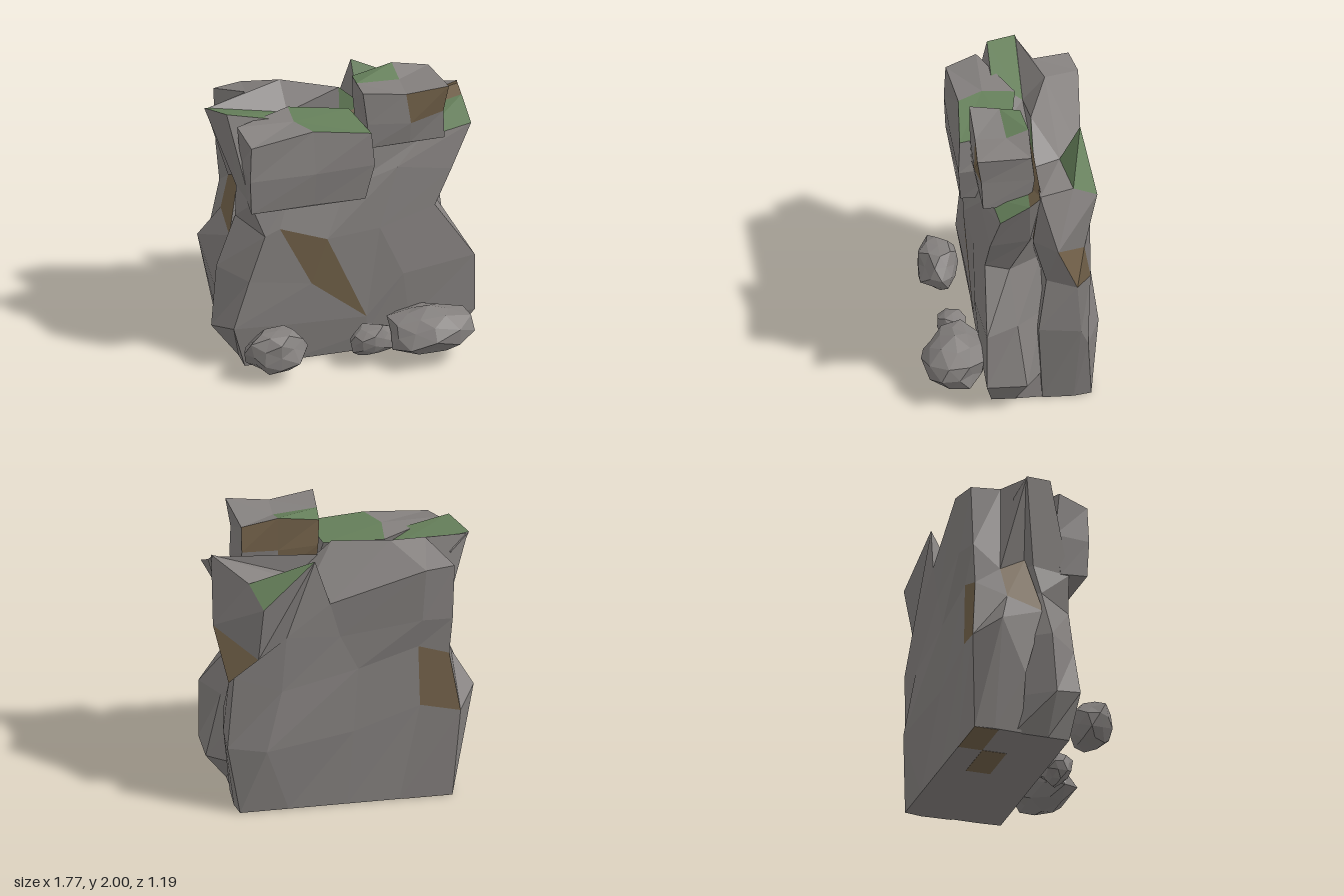
import * as THREE from 'three';

const mat = (name, color) => {
  const m = new THREE.MeshStandardMaterial({ color, flatShading: true });
  m.name = name;
  return m;
};
const GREY = 0, GREEN = 1, BROWN = 2;

// Skins rings of points (counter-clockwise from above, bottom to top).
// paint: 'row,column' -> colour of a wall face; flips: wall faces folded on the other diagonal;
// cap: top triangles [a, b, c, colour], indexing the last ring followed by the extra inner points.
function loft(name, mats, rings, cap, paint = {}, extra = [], flips = []) {
  const faces = [[], [], []];
  const tri = (c, ...pts) => pts.forEach((p) => faces[c].push(...p));
  const n = rings[0].length, base = rings[0], top = [...rings.at(-1), ...extra];
  for (let r = 0; r < rings.length - 1; r++) {
    for (let i = 0; i < n; i++) {
      const j = (i + 1) % n, key = `${r},${i}`, c = paint[key] ?? GREY;
      const quad = [rings[r][i], rings[r][j], rings[r + 1][j], rings[r + 1][i]];
      if (flips.includes(key)) quad.push(quad.shift());
      tri(c, quad[0], quad[1], quad[2]);
      tri(c, quad[0], quad[2], quad[3]);
    }
  }
  for (let i = 1; i < n - 1; i++) tri(GREY, base[0], base[i + 1], base[i]);
  cap.forEach(([a, b, c, colour = GREY]) => tri(colour, top[a], top[b], top[c]));

  const g = new THREE.BufferGeometry();
  g.setAttribute('position', new THREE.Float32BufferAttribute(faces.flat(), 3));
  let start = 0;
  faces.forEach((f, k) => {
    if (f.length) g.addGroup(start, f.length / 3, k);
    start += f.length / 3;
  });
  g.computeVertexNormals();
  const mesh = new THREE.Mesh(g, mats);
  mesh.name = name;
  return mesh;
}

// Faceted stone: a dented ball, each corner pushed by a hash of its place
function boulder(name, material, seed, centre, radii) {
  const g = new THREE.IcosahedronGeometry(1, 1);
  const p = g.attributes.position, v = new THREE.Vector3();
  for (let i = 0; i < p.count; i++) {
    v.fromBufferAttribute(p, i);
    const key = Math.round(v.x * 50) * 12.9 + Math.round(v.y * 50) * 78.2 + Math.round(v.z * 50) * 37.7;
    const h = Math.abs(Math.sin(key + seed) * 437.5) % 1;
    v.multiplyScalar(0.76 + 0.29 * h);
    p.setXYZ(i, v.x, v.y, v.z);
  }
  g.scale(...radii).translate(...centre);
  g.computeVertexNormals();
  const mesh = new THREE.Mesh(g, material);
  mesh.name = name;
  return mesh;
}

export function createModel() {
  const group = new THREE.Group();
  group.name = 'rockCliff';
  const mats = [mat('stoneGrey', 0x84807e), mat('mossGreen', 0x657f5a), mat('earthBrown', 0x73624a)];

  // Front slab: left side, five front columns, right side; the hidden back is tucked inward
  const frontRings = [
    [[-0.7, 0, 0], [-0.7, 0, 0.15], [-0.38, 0, 0.15], [0.13, 0, 0.15], [0.4, 0, 0.15], [0.72, 0, 0.15], [0.73, 0, -0.01]],
    [[-0.89, 0.26, 0], [-0.79, 0.32, 0.2], [-0.35, 0.29, 0.19], [0.13, 0.14, 0.18], [0.43, 0.2, 0.19], [0.88, 0.22, 0.2], [0.88, 0.21, -0.07]],
    [[-0.85, 0.7, -0.02], [-0.68, 0.66, 0.19], [-0.25, 0.59, 0.2], [0.13, 0.28, 0.2], [0.38, 0.58, 0.22], [0.88, 0.64, 0.2], [0.77, 0.64, -0.02]],
    [[-0.71, 1.05, -0.05], [-0.57, 0.99, 0.19], [-0.47, 1.04, 0.2], [-0.15, 0.93, 0.23], [0.22, 0.95, 0.21], [0.61, 1.05, 0.18], [0.65, 1.03, 0.02]],
    [[-0.69, 1.25, -0.1], [-0.66, 1.23, 0.16], [-0.4, 1.23, 0.15], [0, 1.25, 0.15], [0.35, 1.38, 0.18], [0.73, 1.3, 0.16], [0.78, 1.36, -0.1]],
  ].map((r) => {
    const l = r[0], e = r[6], tuck = l[1] === 0 ? 1 : 0.8;
    return [...r, [e[0] * tuck, e[1], -0.21], [l[0] * tuck, l[1], -0.24]];
  });
  frontRings.push([[-0.88, 1.81, -0.21], [-0.78, 1.85, -0.01], [-0.45, 1.77, 0], [0.05, 1.62, 0.08], [0.52, 1.54, 0.13],
    [0.88, 1.6, 0.11], [0.87, 1.71, -0.09], [0.86, 1.77, -0.17], [-0.75, 1.7, -0.26]]);
  const frontCap = [[0, 1, 9, GREEN], [1, 2, 9, GREEN], [8, 0, 9], [2, 3, 9], [3, 10, 9], [3, 4, 10, GREEN],
    [4, 11, 10, GREEN], [4, 5, 6, GREEN], [4, 6, 11, GREEN], [11, 6, 7, BROWN], [11, 7, 10, BROWN]];
  group.add(loft('frontSlab', mats, frontRings, frontCap, { '2,2': BROWN },
    [[-0.31, 1.7, -0.19], [0.05, 1.64, -0.2], [0.45, 1.59, -0.12]]));

  // Back slab: right side, back columns from right to left, left side, then a plain hidden front
  const backRings = [
    [[0.74, 0, -0.19], [0.75, 0, -0.4], [0.73, 0, -0.52], [0.4, 0, -0.52], [0, 0, -0.52], [-0.35, 0, -0.52], [-0.71, 0, -0.52], [-0.72, 0, -0.38], [-0.71, 0, -0.19]],
    [[0.78, 0.6, -0.16], [0.83, 0.6, -0.44], [0.81, 0.48, -0.49], [0.56, 0.48, -0.59], [-0.04, 0.55, -0.53], [-0.49, 0.7, -0.52], [-0.76, 0.65, -0.55], [-0.88, 0.75, -0.38], [-0.8, 0.4, -0.19]],
    [[0.71, 0.96, -0.22], [0.79, 0.94, -0.42], [0.77, 1.02, -0.51], [0.45, 0.9, -0.54], [-0.07, 1.02, -0.53], [-0.48, 1.14, -0.51], [-0.69, 1.07, -0.51], [-0.74, 0.98, -0.3], [-0.75, 0.9, -0.05]],
    [[0.79, 1.36, -0.12], [0.87, 1.31, -0.28], [0.6, 1.13, -0.49], [0.42, 1.31, -0.55], [0.05, 1.27, -0.52], [-0.5, 1.36, -0.56], [-0.71, 1.34, -0.53], [-0.68, 1.2, -0.33], [-0.66, 1.3, -0.15]],
  ].map((r) => [...r, ...[-0.31, 0.05, 0.3].map((x) => [x, r[8][1], -0.18])]);
  backRings.push([[0.86, 1.78, -0.16], [0.65, 1.67, -0.41], [0.58, 1.55, -0.58], [0.22, 1.85, -0.51], [0.12, 1.53, -0.53], [-0.52, 1.75, -0.59],
    [-0.72, 1.75, -0.55], [-0.57, 1.84, -0.29], [-0.87, 1.8, -0.21], [-0.31, 1.7, -0.19], [0.05, 1.83, -0.2], [0.3, 1.6, -0.19]]);
  // Inner points: the ridge and the hollow
  const ridge = [[-0.32, 1.87, -0.34], [0.23, 1.6, -0.37]];
  const backCap = [[0, 1, 13], [1, 2, 3, GREEN], [1, 3, 13, GREEN], [3, 4, 13], [4, 12, 13], [4, 5, 12],
    [5, 6, 7], [5, 7, 12], [7, 8, 12], [8, 9, 12], [9, 10, 12], [10, 13, 12], [10, 11, 13], [11, 0, 13]];
  group.add(loft('backSlab', mats, backRings, backCap,
    { '2,1': BROWN, '2,7': BROWN, '1,5': BROWN, '3,10': GREEN, '3,11': BROWN }, ridge, ['3,0']));

  // Two staggered patches of brown earth on the underside
  for (const [x, z] of [[-0.54, -0.435], [-0.2, -0.265]]) {
    const patch = new THREE.Mesh(new THREE.BoxGeometry(0.34, 0.004, 0.17), mats[BROWN]);
    patch.position.set(x, 0, z);
    patch.name = 'undersidePatch';
    group.add(patch);
  }

  // Overhanging block on the front: three front and three back points per ring
  const ledgeRings = [
    [[-0.69, 1.23, 0.28], [-0.25, 1.23, 0.27], [0.1, 1.23, 0.28], [0.1, 1.23, 0.1], [-0.25, 1.23, 0.05], [-0.67, 1.23, 0.1]],
    [[-0.7, 1.48, 0.29], [-0.25, 1.48, 0.3], [0.16, 1.49, 0.3], [0.14, 1.5, 0], [-0.25, 1.5, -0.1], [-0.7, 1.5, 0.05]],
    [[-0.69, 1.73, 0.28], [-0.25, 1.78, 0.25], [0.14, 1.73, 0.29], [0.08, 1.74, -0.06], [-0.32, 1.77, -0.14], [-0.73, 1.79, 0.07]],
  ];
  // Inner point and a shoulder where the top narrows to the back
  group.add(loft('frontLedge', mats, ledgeRings,
    [[0, 1, 6], [0, 6, 5], [5, 6, 7], [6, 4, 7], [1, 2, 6, GREEN], [2, 3, 6, GREEN], [3, 4, 6, GREEN], [5, 7, 4]],
    {}, [[-0.34, 1.78, 0.08], [-0.52, 1.78, -0.02]]));

  // Block standing on the top right
  const topRings = [
    [[0.14, 1.57, 0.21], [0.43, 1.57, 0.2], [0.67, 1.57, 0.2], [0.65, 1.57, -0.12], [0.4, 1.57, -0.12], [0.14, 1.57, -0.1]],
    [[0.13, 1.76, 0.22], [0.43, 1.73, 0.23], [0.66, 1.78, 0.21], [0.65, 1.77, -0.15], [0.4, 1.75, -0.13], [0.13, 1.77, -0.14]],
    [[0.1, 2, 0.22], [0.4, 1.95, 0.22], [0.69, 1.98, 0.24], [0.65, 1.95, -0.13], [0.4, 2, -0.14], [0.12, 1.95, -0.12]],
  ];
  group.add(loft('topBlock', mats, topRings,
    [[0, 1, 6], [1, 2, 7], [1, 7, 6], [2, 3, 7], [3, 4, 7],
      [4, 5, 6, GREEN], [4, 6, 7, GREEN], [5, 0, 6, GREEN]],
    { '1,1': BROWN, '1,3': BROWN, '1,4': BROWN, '0,4': BROWN },
    [[0.11, 1.97, 0.02], [0.41, 1.95, 0.01]]));

  // Loose boulders at the foot
  group.add(
    boulder('leftBoulder', mats[GREY], 1, [-0.535, 0.21, 0.35], [0.24, 0.18, 0.16]),
    boulder('smallBoulder', mats[GREY], 4, [0.125, 0.18, 0.34], [0.175, 0.13, 0.11]),
    boulder('largeBoulder', mats[GREY], 7, [0.51, 0.23, 0.37], [0.33, 0.18, 0.23]),
  );
  return group;
}
